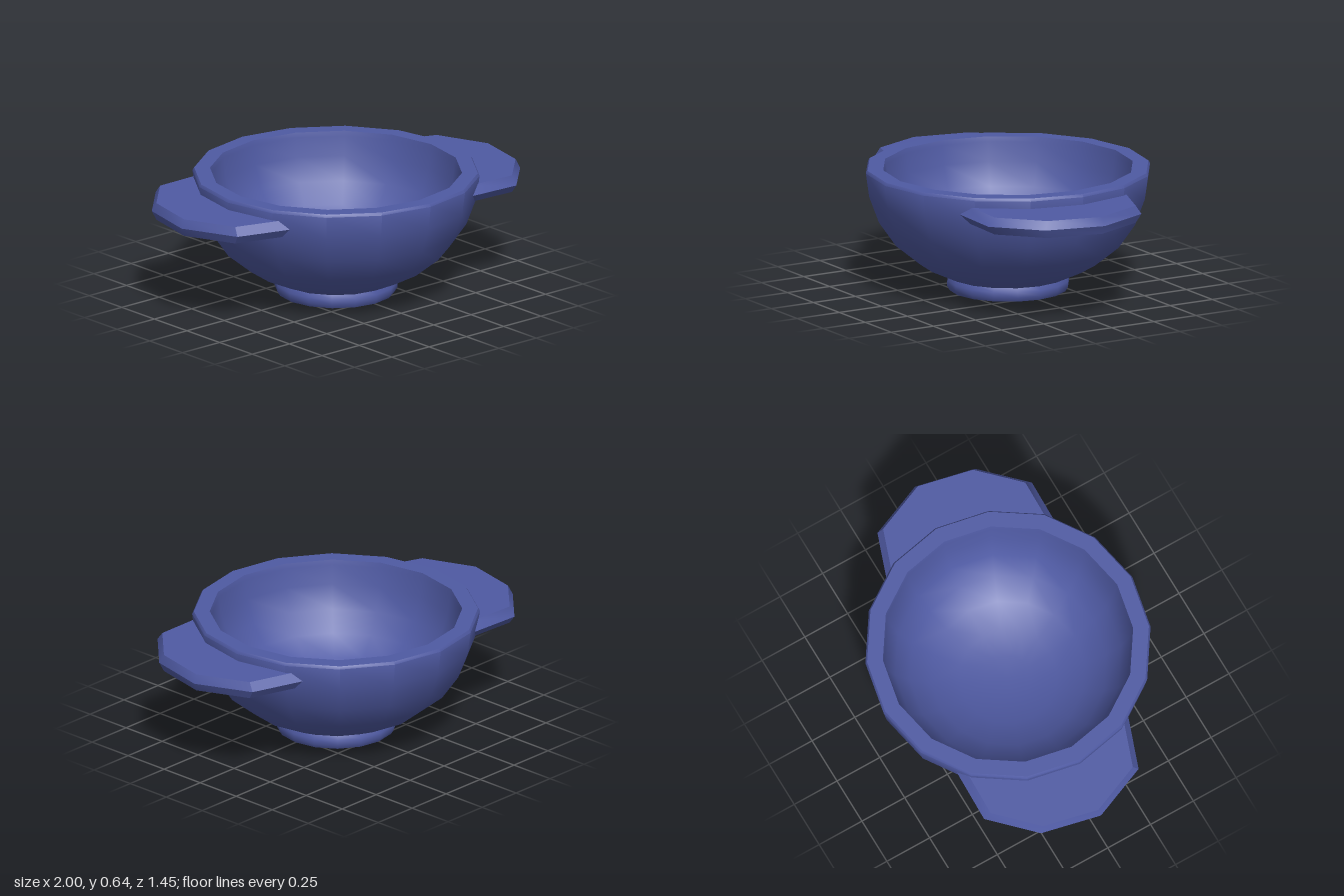
import * as THREE from 'three';
import { toCreasedNormals } from 'three/addons/utils/BufferGeometryUtils.js';

const SIDES = 16;
const material = new THREE.MeshStandardMaterial({ color: 0x4f5aa3 });

function makeMesh(name, geometry, crease = 0.7) {
  const mesh = new THREE.Mesh(toCreasedNormals(geometry, crease), material);
  mesh.name = name;
  return mesh;
}

function lathe(profile) {
  return new THREE.LatheGeometry(profile.map(([r, y]) => new THREE.Vector2(r, y)), SIDES);
}

// Flat lug with a bevelled edge: one outline, scaled ring by ring from bottom to top
function handleGeometry() {
  const outline = [[0.585, -0.356], [0.88, -0.25], [1, 0.04], [0.93, 0.35], [0.72, 0.56], [0.41, 0.553]];
  // inner edge follows the bowl wall and stays hidden inside it
  for (let i = 0; i < 6; i++) {
    const a = THREE.MathUtils.degToRad(47 - i * 14.4);
    outline.push([0.665 * Math.cos(a), 0.665 * Math.sin(a)]);
  }
  const cx = 0.76, cz = 0.1, n = outline.length;
  const rings = [[0, -0.044], [0.92, -0.044], [1, 0], [0.92, 0.044], [0, 0.044]];
  const positions = [], index = [];
  for (const [s, dy] of rings) {
    for (const [px, pz] of outline) {
      const x = cx + (px - cx) * s, z = cz + (pz - cz) * s;
      positions.push(x, 0.549 - 0.016 * x + dy, z);
    }
  }
  for (let k = 0; k < rings.length - 1; k++) {
    for (let i = 0; i < n; i++) {
      const j = (i + 1) % n;
      const a = k * n + i, b = a + n, c = (k + 1) * n + j, d = k * n + j;
      if (k < rings.length - 2) index.push(a, b, c);
      if (k > 0) index.push(a, c, d);
    }
  }
  const geometry = new THREE.BufferGeometry();
  geometry.setAttribute('position', new THREE.Float32BufferAttribute(positions, 3));
  geometry.setIndex(index);
  return geometry;
}

export function createModel() {
  const group = new THREE.Group();
  group.name = 'handledBowl';

  // Bowl: outer wall, flat rim, inner wall
  group.add(makeMesh('bowl', lathe([
    [0, 0.06], [0.3, 0.07], [0.45, 0.14], [0.573, 0.24], [0.66, 0.365], [0.71, 0.5],
    [0.727, 0.622], [0.718, 0.636], [0.638, 0.636], [0.632, 0.61], [0.62, 0.51],
    [0.575, 0.39], [0.5, 0.29], [0.39, 0.205], [0.25, 0.15], [0.12, 0.13], [0, 0.125],
  ])));

  // Foot ring with a slightly rounded side
  group.add(makeMesh('foot', lathe([
    [0, 0], [0.298, 0], [0.311, 0.022], [0.311, 0.05], [0.299, 0.075], [0, 0.075],
  ])));

  // Two handles, half a turn apart
  for (const [name, turn] of [['leftHandle', 0], ['rightHandle', Math.PI]]) {
    const handle = makeMesh(name, handleGeometry());
    handle.rotation.y = turn;
    group.add(handle);
  }
  return group;
}
